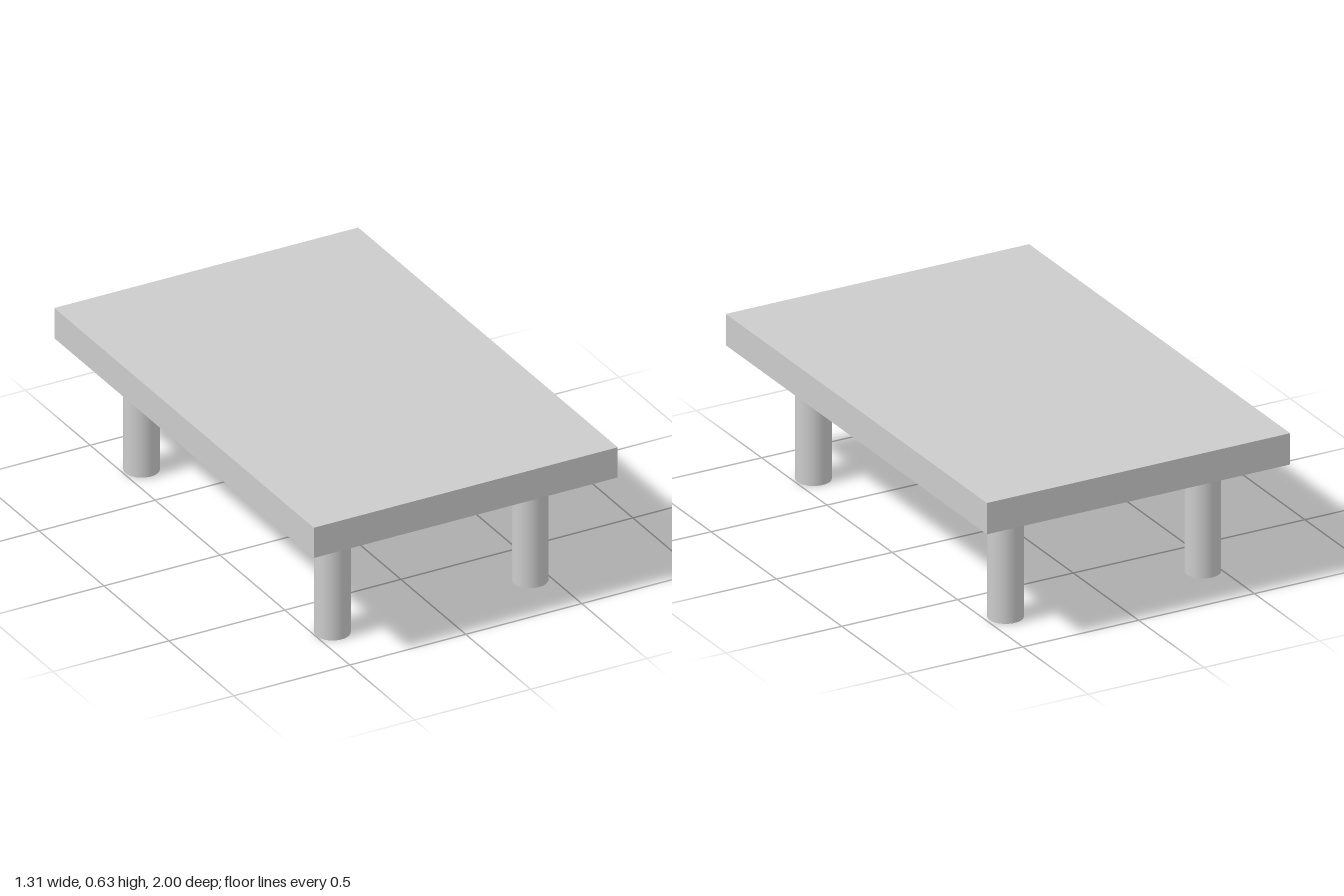
import * as THREE from 'three';

export function createModel() {
  const model = new THREE.Group();
  const material = new THREE.MeshStandardMaterial({ color: 0xcccccc });

  const add = (name, geometry, x, y, z) => {
    const mesh = new THREE.Mesh(geometry, material);
    mesh.name = name;
    mesh.position.set(x, y, z);
    model.add(mesh);
  };

  // Table top: a plain slab
  const underside = 0.498, top = 0.627;
  add('tableTop', new THREE.BoxGeometry(1.31, top - underside, 2), 0, (underside + top) / 2, 0);

  // Four round legs; the back pair is a hair shorter
  for (const [end, z, foot] of [['front', 0.738, 0], ['back', -0.733, 0.005]]) {
    for (const [side, x] of [['Left', 0.424], ['Right', -0.428]]) {
      const height = underside - foot;
      add(`${end}${side}Leg`, new THREE.CylinderGeometry(0.069, 0.069, height, 48), x, foot + height / 2, z);
    }
  }

  return model;
}
